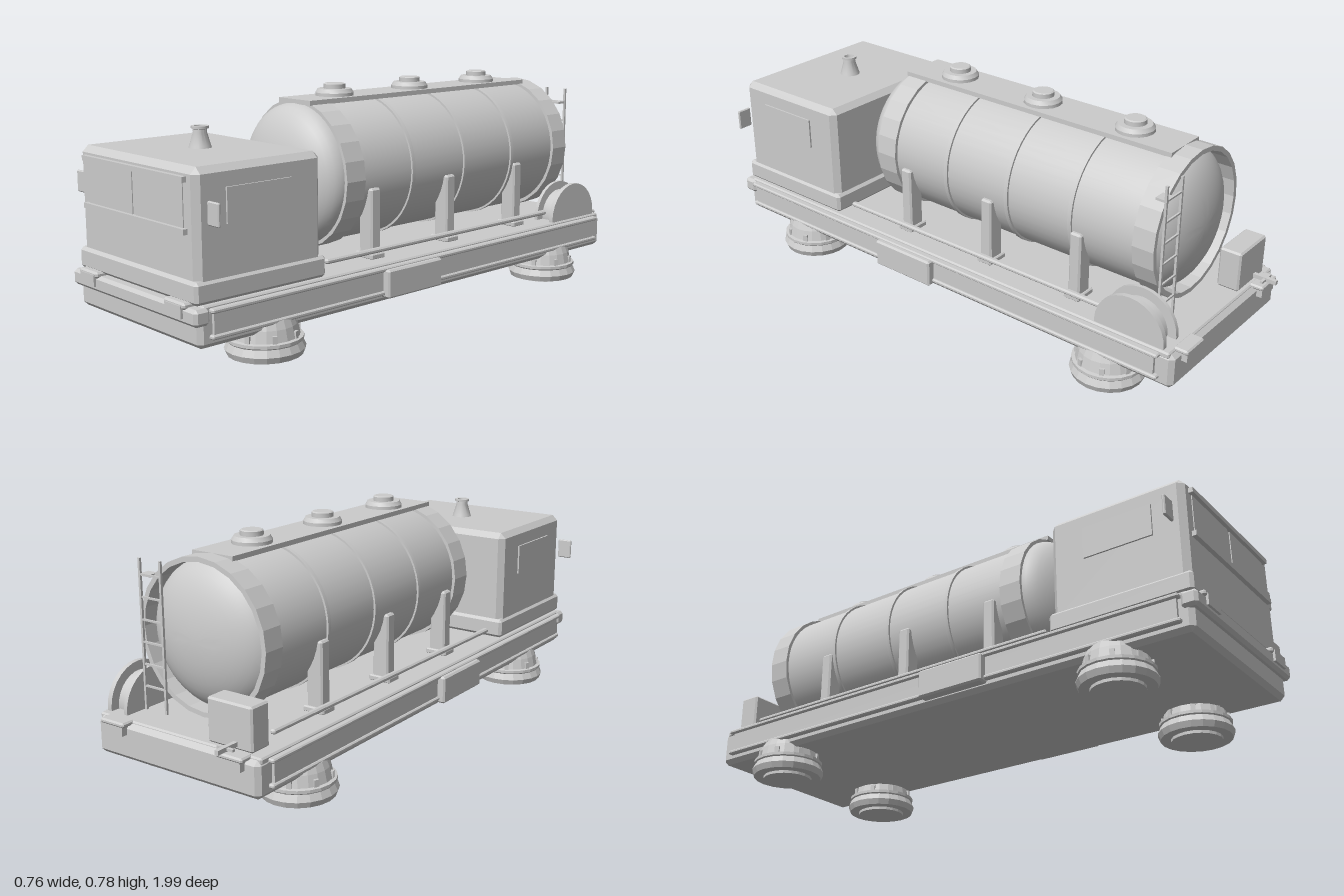
import * as THREE from 'three';
import { toCreasedNormals } from 'three/addons/utils/BufferGeometryUtils.js';
import { ConvexGeometry } from 'three/addons/geometries/ConvexGeometry.js';

const grey = new THREE.MeshStandardMaterial({ color: 0xcccccc });
grey.name = 'light grey';
const greyOpen = new THREE.MeshStandardMaterial({ color: 0xcccccc, side: THREE.DoubleSide });
greyOpen.name = 'light grey';

export function createModel() {
  const model = new THREE.Group();
  model.name = 'tankerTruck';

  const add = (name, geometry, x = 0, y = 0, z = 0, material = grey) => {
    const mesh = new THREE.Mesh(geometry, material);
    mesh.name = name;
    mesh.position.set(x, y, z);
    model.add(mesh);
    return mesh;
  };

  // Box given by its limits, with chamfered edges when c > 0
  const box = (name, x0, x1, y0, y1, z0, z1, c = 0) => {
    const h = [(x1 - x0) / 2, (y1 - y0) / 2, (z1 - z0) / 2];
    let geometry;
    if (c > 0) {
      const points = [];
      for (const sx of [-1, 1]) for (const sy of [-1, 1]) for (const sz of [-1, 1]) {
        const s = [sx, sy, sz];
        for (let k = 0; k < 3; k++) {
          points.push(new THREE.Vector3(...h.map((v, i) => s[i] * (i === k ? v : v - c))));
        }
      }
      geometry = new ConvexGeometry(points);
    } else {
      geometry = new THREE.BoxGeometry(h[0] * 2, h[1] * 2, h[2] * 2);
    }
    return add(name, geometry, (x0 + x1) / 2, (y0 + y1) / 2, (z0 + z1) / 2);
  };

  // The same box on both sides of the model
  const pair = (name, x0, x1, ...rest) => {
    box('left' + name, x0, x1, ...rest);
    box('right' + name, -x1, -x0, ...rest);
  };

  // Turned part from [radius, height] points
  const lathe = (profile, sides, crease = 0.5) => toCreasedNormals(
    new THREE.LatheGeometry(profile.map(([r, y]) => new THREE.Vector2(r, y)), sides), crease);

  // Chassis
  box('chassis', -0.325, 0.325, 0.095, 0.215, -0.945, 0.965, 0.015);
  box('deck', -0.325, 0.325, 0.2, 0.222, -0.93, 0.95, 0.005);
  box('frontBumper', -0.335, 0.335, 0.166, 0.218, 0.93, 0.985, 0.01);
  pair('SidePanel', 0.32, 0.335, 0.135, 0.21, -0.885, 0.92);
  pair('SideRailTop', 0.31, 0.345, 0.2, 0.214, -0.9, 0.93, 0.004);
  pair('SideRailBottom', 0.31, 0.343, 0.122, 0.136, -0.9, 0.93, 0.004);
  pair('SideLocker', 0.32, 0.362, 0.113, 0.208, 0.0, 0.25, 0.006);

  // Lamps with hooded brackets
  for (const x of [-0.235, 0.235]) {
    box('headlamp', x - 0.04, x + 0.04, 0.184, 0.222, 0.97, 0.993);
    box('headlampHood', x - 0.052, x + 0.052, 0.211, 0.231, 0.94, 0.99, 0.006);
    box('tailLamp', x - 0.04, x + 0.04, 0.18, 0.215, -0.965, -0.93);
    box('tailLampHood', x - 0.05, x + 0.05, 0.209, 0.225, -0.97, -0.92, 0.005);
  }

  // Round hover pads
  const padProfile = [[0, 0], [0.085, 0], [0.085, 0.01], [0.118, 0.01], [0.126, 0.03],
    [0.116, 0.052], [0.12, 0.056], [0.12, 0.066], [0.108, 0.068], [0.1, 0.105], [0.09, 0.13], [0, 0.13]];
  const padGeometry = lathe(padProfile, 20, 0.1);
  for (const x of [-0.255, 0.255]) for (const z of [-0.675, 0.675]) {
    add('hoverPad', padGeometry, x, 0, z);
    for (let i = 0; i < 8; i++) {
      const a = (i + 0.5) * Math.PI / 4;
      const bolt = add('padLug', new THREE.BoxGeometry(0.018, 0.025, 0.016),
        x + Math.cos(a) * 0.102, 0.078, z + Math.sin(a) * 0.102);
      bolt.rotation.y = -a;
    }
  }

  // Cab
  box('cabSkirt', -0.317, 0.317, 0.222, 0.291, 0.477, 0.968, 0.01);
  box('cab', -0.309, 0.309, 0.25, 0.617, 0.487, 0.957, 0.02);
  pair('SideWindow', 0.306, 0.315, 0.445, 0.552, 0.61, 0.85);
  pair('Windscreen', 0.008, 0.253, 0.44, 0.573, 0.953, 0.96);
  for (const y of [0.423, 0.573]) box('windscreenRail', -0.27, 0.27, y, y + 0.017, 0.95, 0.972);
  pair('Mirror', 0.327, 0.38, 0.455, 0.525, 0.92, 0.93, 0.003);
  add('cabVent', lathe([[0.037, 0], [0.034, 0.01], [0.022, 0.05], [0.022, 0.06], [0.028, 0.062],
    [0.028, 0.07], [0.018, 0.07], [0.016, 0.055], [0, 0.055]], 16), 0, 0.615, 0.715);

  // Tank: smooth barrel with domed ends, lying along z
  const tankY = 0.488;
  const barrel = [];
  const domeSteps = 10;
  for (let i = 0; i <= domeSteps; i++) {
    const a = i / domeSteps * Math.PI / 2;
    barrel.push([0.238 * Math.sin(a), -0.73 - 0.113 * Math.cos(a)]);
  }
  for (let i = domeSteps; i >= 0; i--) {
    const a = i / domeSteps * Math.PI / 2;
    barrel.push([0.238 * Math.sin(a), 0.325 + 0.113 * Math.cos(a)]);
  }
  add('tank', lathe(barrel, 48, 0.7), 0, tankY, 0).rotation.x = Math.PI / 2;

  // Faceted end collars and thin hoops
  const hoop = (name, z0, z1, outer, inner, sides, crease) => {
    const profile = [[inner, z0], [outer, z0], [outer, z1], [inner, z1], [inner, z0]];
    add(name, lathe(profile, sides, crease), 0, tankY, 0, greyOpen).rotation.x = Math.PI / 2;
  };
  hoop('frontCollar', 0.247, 0.328, 0.25, 0.228, 24, 0.1);
  hoop('rearCollar', -0.81, -0.733, 0.25, 0.234, 24, 0.1);
  for (const z of [0.018, -0.242, -0.497]) hoop('tankHoop', z - 0.007, z + 0.007, 0.245, 0.23, 48, 0.5);

  // Walkway and hatches along the top
  box('walkway', -0.08, 0.08, 0.722, 0.738, -0.75, 0.335);
  for (const z of [0.157, -0.205, -0.567]) {
    add('hatch', lathe([[0.065, 0], [0.065, 0.012], [0.057, 0.025], [0.037, 0.025],
      [0.037, 0.04], [0.032, 0.043], [0, 0.043]], 16), 0, 0.737, z);
  }

  // Tank supports and deck pipes
  for (const z of [0.2, -0.162, -0.525]) {
    pair('TankSupport', 0.19, 0.25, 0.22, 0.455, z - 0.022, z + 0.022, 0.006);
    pair('SupportFoot', 0.18, 0.262, 0.22, 0.24, z - 0.03, z + 0.03, 0.004);
  }
  box('leftDeckPipe', 0.264, 0.284, 0.248, 0.264, -0.66, 0.445, 0.005);
  box('rightDeckPipe', -0.284, -0.264, 0.248, 0.264, -0.82, 0.445, 0.005);

  // Hose reel at the rear left: two half-sunk flanges and a drum
  const reel = (name, radius, x0, x1) => {
    const geometry = new THREE.CylinderGeometry(radius, radius, x1 - x0, 28, 1, false, 0, Math.PI);
    add(name, toCreasedNormals(geometry, 0.5), (x0 + x1) / 2, 0.225, -0.78, greyOpen).rotation.set(0, 0, Math.PI / 2);
    model.children[model.children.length - 1].rotation.set(Math.PI, 0, Math.PI / 2);
  };
  const wholeReel = (name, radius, x0, x1) => {
    const geometry = toCreasedNormals(new THREE.CylinderGeometry(radius, radius, x1 - x0, 28), 0.5);
    add(name, geometry, (x0 + x1) / 2, 0.23, -0.78).rotation.z = Math.PI / 2;
  };
  wholeReel('reelOuterFlange', 0.126, 0.3, 0.317);
  wholeReel('reelInnerFlange', 0.126, 0.232, 0.245);
  wholeReel('reelDrum', 0.095, 0.24, 0.305);

  // Rear equipment box with outlet tap
  box('equipmentBox', -0.283, -0.113, 0.222, 0.362, -0.918, -0.84, 0.006);
  box('outletPipe', -0.227, -0.213, 0.233, 0.247, -1, -0.9);
  box('outletHandle', -0.25, -0.19, 0.236, 0.244, -0.965, -0.955);

  // Rear ladder
  for (const x of [0.14, 0.226]) box('ladderPost', x - 0.004, x + 0.004, 0.22, 0.708, -0.831, -0.823);
  for (let i = 0; i < 6; i++) {
    const y = 0.3 + i * 0.0715;
    box('ladderRung', 0.14, 0.226, y - 0.003, y + 0.003, -0.83, -0.824);
  }
  box('ladderBracket', 0.185, 0.226, 0.652, 0.66, -0.827, -0.79);

  return model;
}
